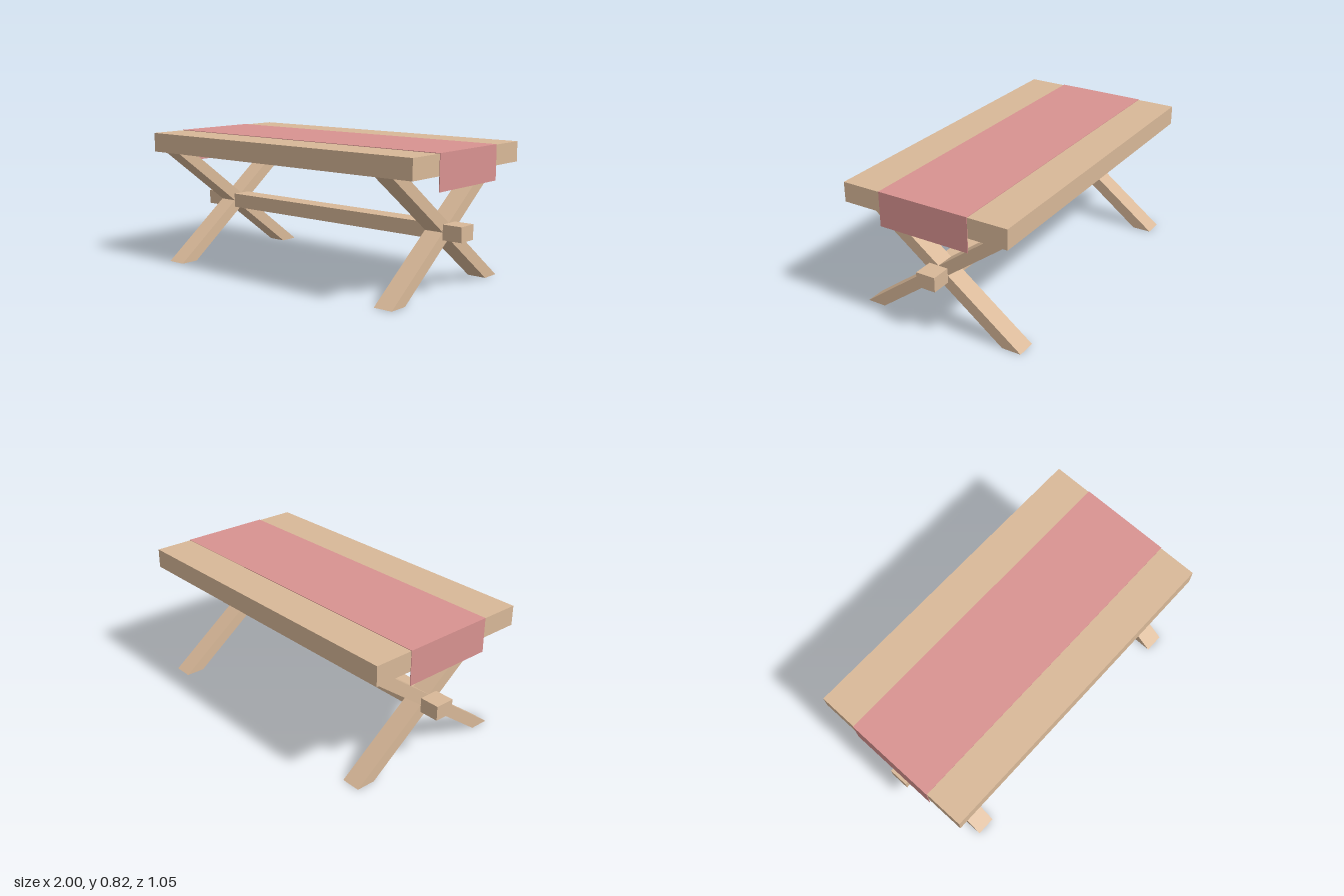
import * as THREE from 'three';

export function createModel() {
  const group = new THREE.Group();
  group.name = 'trestleTable';
  const wood = new THREE.MeshStandardMaterial({ color: 0xd8b898 });
  wood.name = 'lightWood';
  const cloth = new THREE.MeshStandardMaterial({ color: 0xd89290 });
  cloth.name = 'pinkCloth';

  const add = (name, geometry, material, x = 0, y = 0, z = 0) => {
    const mesh = new THREE.Mesh(geometry, material);
    mesh.name = name;
    mesh.position.set(x, y, z);
    group.add(mesh);
  };
  const box = (name, material, w, h, d, x, y, z) =>
    add(name, new THREE.BoxGeometry(w, h, d), material, x, y, z);

  // Table top and the long stretcher through the leg crossings
  const underside = 0.695, topY = 0.813, halfDepth = 0.523;
  box('tableTop', wood, 1.996, topY - underside, halfDepth * 2, 0, (topY + underside) / 2, 0);
  box('stretcher', wood, 2, 0.088, 0.12, 0, 0.348, 0);

  // Crossed legs: slanted bars cut level at floor and table top
  const legWidth = 0.118, legThickness = 0.118;
  for (const side of [-1, 1]) {
    for (const slant of [-1, 1]) {
      const leg = new THREE.BoxGeometry(legThickness, underside, legWidth);
      const shear = slant * (halfDepth * 2 - legWidth) / underside;
      leg.applyMatrix4(new THREE.Matrix4().set(
        1, 0, 0, 0,
        0, 1, 0, 0,
        0, shear, 1, 0,
        0, 0, 0, 1));
      leg.computeVertexNormals();
      add((side > 0 ? 'left' : 'right') + (slant > 0 ? 'BackFootLeg' : 'FrontFootLeg'),
        leg, wood, side * 0.82, underside / 2, 0);
    }
  }

  // Cloth runner: thin strip over the top with a hanging flap at each end
  const clothThickness = 0.004, clothDepth = 0.566, hem = 0.61;
  const clothTop = topY + 0.003;
  box('runnerTop', cloth, 2, clothThickness, clothDepth, 0, clothTop - clothThickness / 2, 0);
  for (const side of [-1, 1]) {
    box(side > 0 ? 'leftRunnerFlap' : 'rightRunnerFlap', cloth,
      clothThickness, clothTop - hem, clothDepth, side * 0.999, (clothTop + hem) / 2, 0);
  }
  return group;
}
